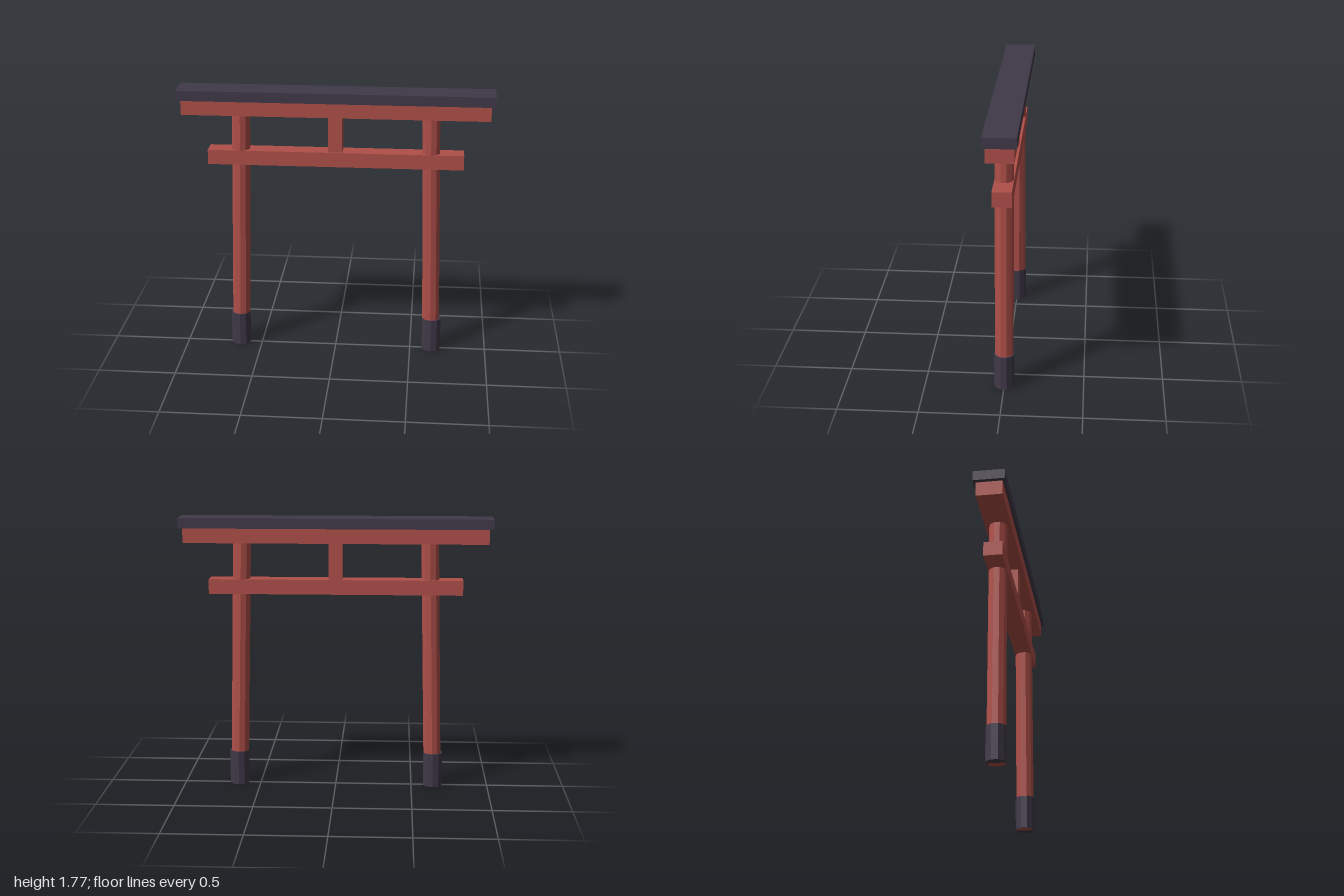
import * as THREE from 'three';

export function createModel() {
  const model = new THREE.Group();
  model.name = 'gate';

  const material = (name, color) => {
    const m = new THREE.MeshStandardMaterial({ color, flatShading: true });
    m.name = name;
    return m;
  };
  const red = material('vermilion', 0xb04f49);
  const dark = material('charcoal', 0x403949);

  const add = (name, geometry, mat, x, y) => {
    const mesh = new THREE.Mesh(geometry, mat);
    mesh.name = name;
    mesh.position.set(x, y, 0);
    model.add(mesh);
    return mesh;
  };
  // Box centred on x and z, spanning y0 to y1
  const beam = (name, width, y0, y1, depth, mat) =>
    add(name, new THREE.BoxGeometry(width, y1 - y0, depth), mat, 0, (y0 + y1) / 2);

  // Horizontal beams and the short centre strut
  beam('topCap', 2, 1.705, 1.77, 0.2, dark);
  beam('upperBeam', 1.946, 1.61, 1.705, 0.167, red);
  beam('tieBeam', 1.63, 1.28, 1.375, 0.118, red);
  beam('centreStrut', 0.09, 1.375, 1.61, 0.1, red);

  // Pillars lean inwards and stand in upright sleeves
  const tilt = 0.0235;
  const length = 1.62;
  for (const [side, s] of [['left', 1], ['right', -1]]) {
    const pillar = add(side + 'Pillar', new THREE.CylinderGeometry(0.0585, 0.0585, length, 10), red,
      s * (0.64 - Math.sin(tilt) * length / 2), Math.cos(tilt) * length / 2);
    pillar.rotation.z = s * tilt;
    add(side + 'Sleeve', new THREE.CylinderGeometry(0.064, 0.064, 0.224, 10), dark, s * 0.64, 0.112);
  }

  return model;
}
